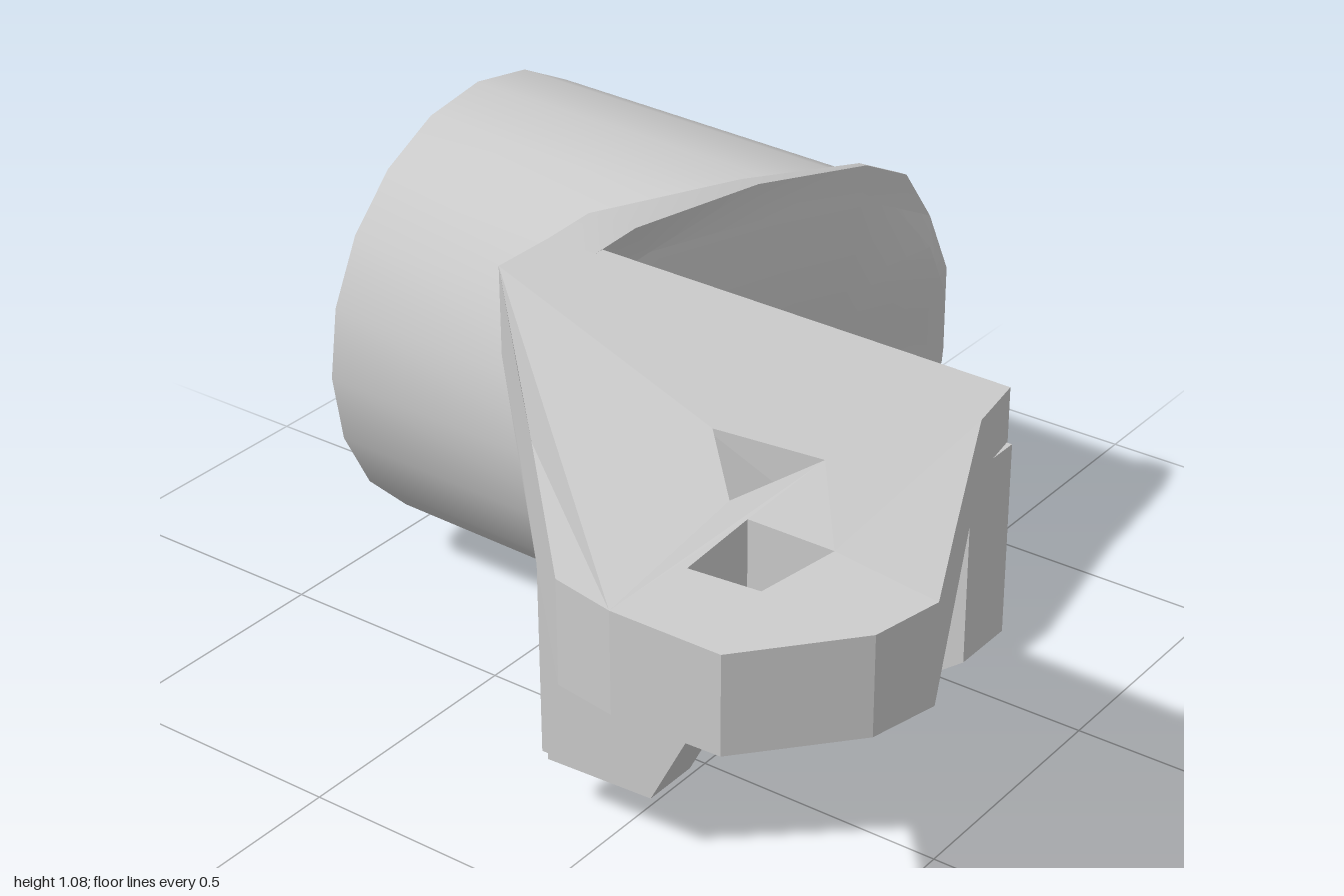
import * as THREE from 'three';
import { toCreasedNormals } from 'three/addons/utils/BufferGeometryUtils.js';
import { ConvexGeometry } from 'three/addons/geometries/ConvexGeometry.js';

const castMetal = new THREE.MeshStandardMaterial({ color: 0xcacaca });
castMetal.name = 'castMetal';

const { clamp } = THREE.MathUtils;
const vec = (list) => list.map(([x, y, z]) => new THREE.Vector3(x, y, z));
const pts = (list) => list.map(([x, y]) => new THREE.Vector2(x, y));

// Moves every vertex of a geometry by a rule
function reshape(geo, rule) {
  const p = geo.attributes.position;
  const v = new THREE.Vector3();
  for (let i = 0; i < p.count; i++) {
    rule(v.fromBufferAttribute(p, i));
    p.setXYZ(i, v.x, v.y, v.z);
  }
  return geo;
}

// Skins a list of equal-length rings, counter-clockwise seen from +z
function skin(rings) {
  const n = rings[0].length;
  const index = [];
  for (let r = 0; r < rings.length - 1; r++) {
    for (let j = 0; j < n; j++) {
      const a = r * n + j, b = r * n + (j + 1) % n;
      index.push(a, b, b + n, a, b + n, a + n);
    }
  }
  const geo = new THREE.BufferGeometry();
  geo.setAttribute('position', new THREE.Float32BufferAttribute(rings.flat(2), 3));
  geo.setIndex(index);
  return geo;
}

export function createModel() {
  const group = new THREE.Group();
  const add = (name, geo) => {
    const mesh = new THREE.Mesh(geo, castMetal);
    mesh.name = name;
    group.add(mesh);
  };

  // Round body closed at the back, its axis rising slightly towards the back
  const circle = (r, z) => Array.from({ length: 20 }, (_, i) => {
    const a = (i / 20) * Math.PI * 2;
    return [0.53 + r * Math.cos(a), 0.455 - z * 0.026 + r * 0.985 * Math.sin(a), z];
  });
  add('cylinderBody', toCreasedNormals(skin([
    circle(0, -0.94), circle(0.465, -0.94), circle(0.465, -0.14),
  ]), 0.6));

  // Flange in front of the body, thin at the top, with a dished face
  const outline = [
    [-0.28, 0.12], [0.22, 0.11], [0.35, 0.04], [0.54, 0], [0.7, 0.03], [0.86, 0.12],
    [0.95, 0.28], [1, 0.4], [1, 0.58], [0.93, 0.72], [0.84, 0.84], [0.7, 0.91],
    [0.35, 1], [-0.06, 1.08], [-0.28, 1.07], [-0.28, 0.6],
  ];
  const ring = (s, depth) => outline.map(([x, y]) => [
    0.53 + (x - 0.53) * s, 0.47 + (y - 0.47) * s, depth(x, y),
  ]);
  add('flange', toCreasedNormals(skin([
    ring(0.5, () => -0.165),
    ring(1, (x, y) => (y < 0.95 ? -0.155 : x > 0 ? -0.175 : -0.2)),
    ring(1, (x, y) => (x < 0 || (x > 0.6 && y < 0.2) ? -0.1 : -0.138)),
    ring(0.86, (x, y) => (y > 0.8 ? -0.133 : -0.1)),
    ring(0.6, (x, y) => (y > 0.8 ? -0.115 : -0.1)),
    ring(0.35, () => -0.125),
    ring(0, () => -0.135),
  ]), 0.45));

  // Small ridges on the flange, front and back
  add('frontRidge', new ConvexGeometry(vec([
    [0.05, 0.58, -0.025], [0.03, 0.39, -0.06], [0.17, 0.57, -0.105],
    [-0.16, 0.37, -0.1], [-0.15, 0.78, -0.1], [0, 0.45, -0.13],
  ])));
  add('backRidge', new ConvexGeometry(vec([
    [0.06, 0.48, -0.27], [-0.03, 0.5, -0.15], [0.12, 0.7, -0.14],
    [0.14, 0.25, -0.14], [0.17, 0.48, -0.25],
  ])));

  // Upright web under the arm, drawn as (z, y) and extruded across x
  const web = new THREE.Shape(pts([
    [0.71, 0.98], [-0.14, 0.98], [-0.14, 0.11], [0.09, 0.12], [0.25, 0.43],
    [0.42, 0.57], [0.67, 0.61], [0.71, 0.64],
  ]));
  const webGeo = new THREE.ExtrudeGeometry(web, { depth: 0.115, bevelEnabled: false });
  add('web', webGeo.rotateY(-Math.PI / 2).translate(-0.168, 0, 0));

  // Arm plate, drawn as (x, -z), with a square hole and a triangular pocket
  const arm = new THREE.Shape(pts([
    [-0.165, -0.7], [-0.15, 0.12], [-0.1, 0.2], [-0.3, 0.2], [-0.58, -0.07],
    [-0.72, -0.208], [-0.98, -0.46], [-1, -0.57], [-1, -0.76], [-0.85, -0.91],
    [-0.74, -0.94], [-0.58, -0.864], [-0.28, -0.72],
  ]));
  const pocket = [[-0.69, -0.55], [-0.54, -0.41], [-0.52, -0.6]];
  arm.holes.push(
    new THREE.Path(pts([[-0.86, -0.6], [-0.715, -0.6], [-0.715, -0.75], [-0.85, -0.72]])),
    new THREE.Path(pts(pocket)),
  );
  // The underside drops at the round end and along the diagonal edge
  const under = (x, z) => {
    const inset = 0.7 * (x + 0.3) + 0.72 * (z + 0.2);
    const pad = clamp((-0.58 - x) / 0.14, 0, 1);
    const rise = clamp(inset / (0.16 + 0.6 * pad), 0, 1);
    return 0.91 - 0.04 * pad + 0.06 * rise * (1 - 0.4 * pad);
  };
  const over = (x) => 1.075 - 0.075 * Math.max(0, -x - 0.6);
  const armGeo = new THREE.ExtrudeGeometry(arm, { depth: 1, bevelEnabled: false });
  reshape(armGeo.rotateX(-Math.PI / 2), (v) => {
    v.y = v.y > 0.5 ? over(v.x) : under(v.x, v.z);
  });
  armGeo.computeVertexNormals();
  add('armPlate', armGeo);

  // Sloping floor of the pocket
  const floor = pocket.map(([x, y]) => [x, under(x, -y), -y]);
  const rim = pocket.slice(0, 2).map(([x, y]) => [x, over(x) - 0.01, -y]);
  add('pocketFloor', new ConvexGeometry(vec([...floor, ...rim])));

  return group;
}
